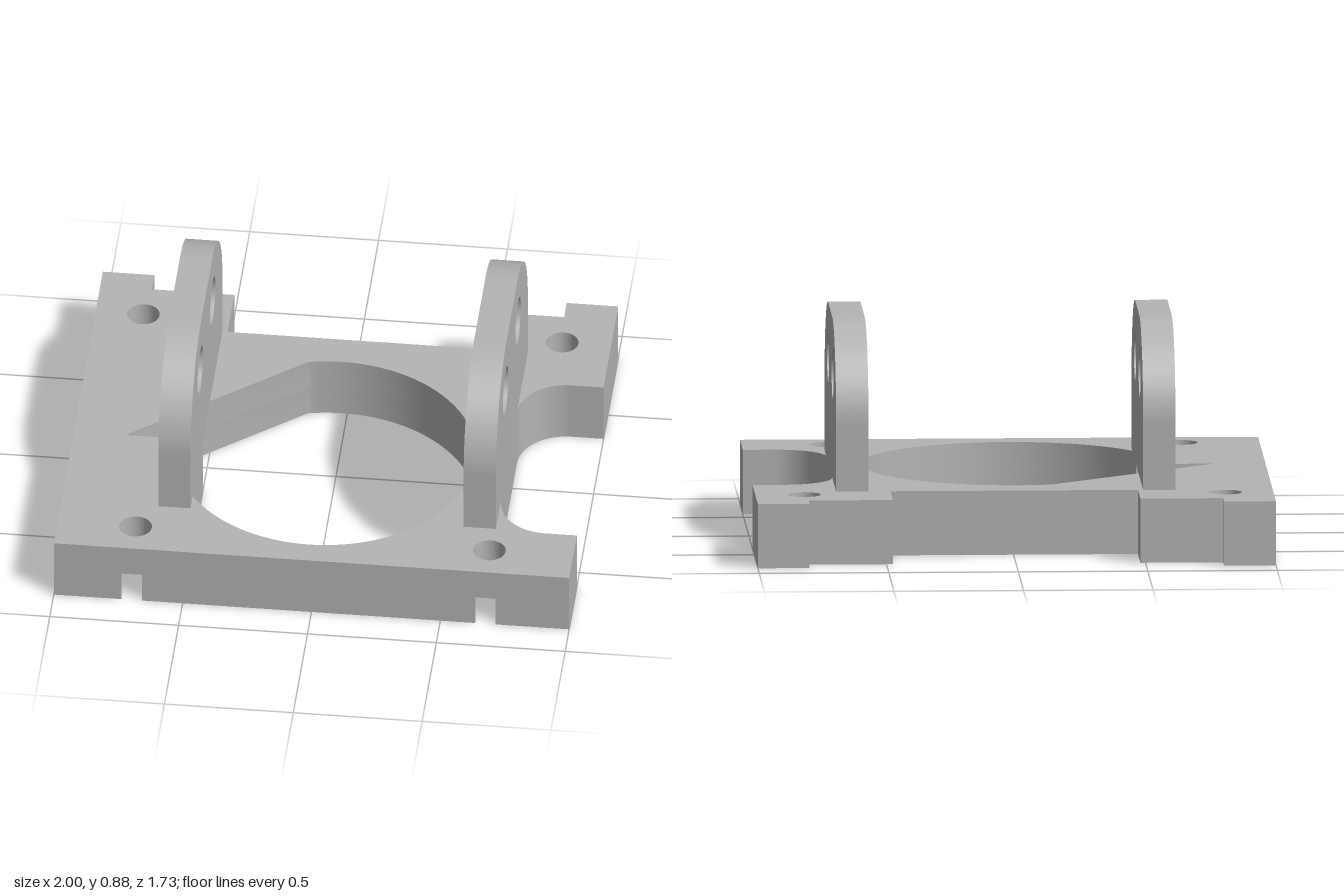
import * as THREE from 'three';
import { toCreasedNormals } from 'three/addons/utils/BufferGeometryUtils.js';

const BASE_TOP = 0.25, SLOT_TOP = 0.125, FRONT = 0.86;
const BOLT_R = 0.063, BORE_R = 0.13, SLOT_HALF = 0.04;
const backBolts = [[-0.815, -0.615], [0.81, -0.615]];
const frontBolts = [[-0.698, 0.72], [0.675, 0.72]];

function circle(x, y, r) {
  return new THREE.Path().absarc(x, y, r, 0, Math.PI * 2, false);
}

function extrude(shape, depth) {
  return new THREE.ExtrudeGeometry(shape, { depth, bevelEnabled: false, curveSegments: 40 });
}

// Base outline in (x, z); the lower layer has counterbores open to the front
function baseShape(lower) {
  const s = new THREE.Shape();
  s.moveTo(-1, FRONT);
  if (lower) {
    const a = Math.acos(SLOT_HALF / BORE_R);
    for (const [x, z] of frontBolts) {
      s.lineTo(x - SLOT_HALF, FRONT);
      s.absarc(x, z, BORE_R, Math.PI - a, Math.PI * 2 + a, false);
      s.lineTo(x + SLOT_HALF, FRONT);
    }
  }
  s.lineTo(1, FRONT);
  s.lineTo(1, 0.59);
  // rounded recess in the left side
  s.absarc(0.875, 0.4, 0.19, Math.PI / 2, Math.PI, false);
  s.absarc(0.875, -0.16, 0.19, Math.PI, Math.PI * 1.5, false);
  s.lineTo(1, -0.35);
  // stepped back edge
  const back = [[1, -0.865], [0.8, -0.865], [0.8, -0.775], [0.475, -0.775], [0.475, -0.54],
    [-0.48, -0.54], [-0.48, -0.775], [-0.8, -0.775], [-0.8, -0.865], [-1, -0.865]];
  back.forEach(([x, z]) => s.lineTo(x, z));
  s.closePath();

  // round opening joined to a rectangular pocket
  const o = new THREE.Path();
  o.moveTo(-0.8, -0.385);
  o.absarc(-0.02, 0.18, 0.58, Math.atan2(-0.565, -0.131), Math.atan2(0.326, -0.48), false);
  o.lineTo(-0.5, 0.15);
  o.lineTo(-0.8, 0.15);
  o.closePath();
  s.holes.push(o);

  const bolts = lower ? backBolts : [...backBolts, ...frontBolts];
  bolts.forEach(([x, z]) => s.holes.push(circle(x, z, BOLT_R)));
  return s;
}

// Upright lug profile in (z, y)
function lugShape() {
  const z0 = -0.543, z1 = 0.583, top = 0.877, r = 0.37;
  const s = new THREE.Shape();
  s.moveTo(z0, BASE_TOP);
  s.lineTo(z1, BASE_TOP);
  s.absarc(z1 - r, top - r, r, 0, Math.PI / 2, false);
  s.absarc(z0 + r, top - r, r, Math.PI / 2, Math.PI, false);
  s.closePath();
  s.holes.push(circle(0.24, 0.66, 0.095), circle(-0.2, 0.66, 0.095));
  return s;
}

export function createModel() {
  const group = new THREE.Group();
  const grey = new THREE.MeshStandardMaterial({ color: 0xb4b4b4 });
  grey.name = 'plain grey';

  const add = (geometry, name) => {
    const mesh = new THREE.Mesh(toCreasedNormals(geometry, 0.5), grey);
    mesh.name = name;
    group.add(mesh);
  };

  // Base plate in two layers
  const layer = (lower, y0, y1) =>
    extrude(baseShape(lower), y1 - y0).rotateX(Math.PI / 2).translate(0, y1, 0);
  add(layer(true, 0, SLOT_TOP), 'lowerBase');
  add(layer(false, SLOT_TOP, BASE_TOP), 'upperBase');

  // Pair of drilled lugs
  const lug = (x0, x1) =>
    extrude(lugShape(), x1 - x0).rotateY(-Math.PI / 2).translate(x1, 0, 0);
  add(lug(-0.625, -0.5), 'rightLug');
  add(lug(0.56, 0.685), 'leftLug');

  return group;
}
